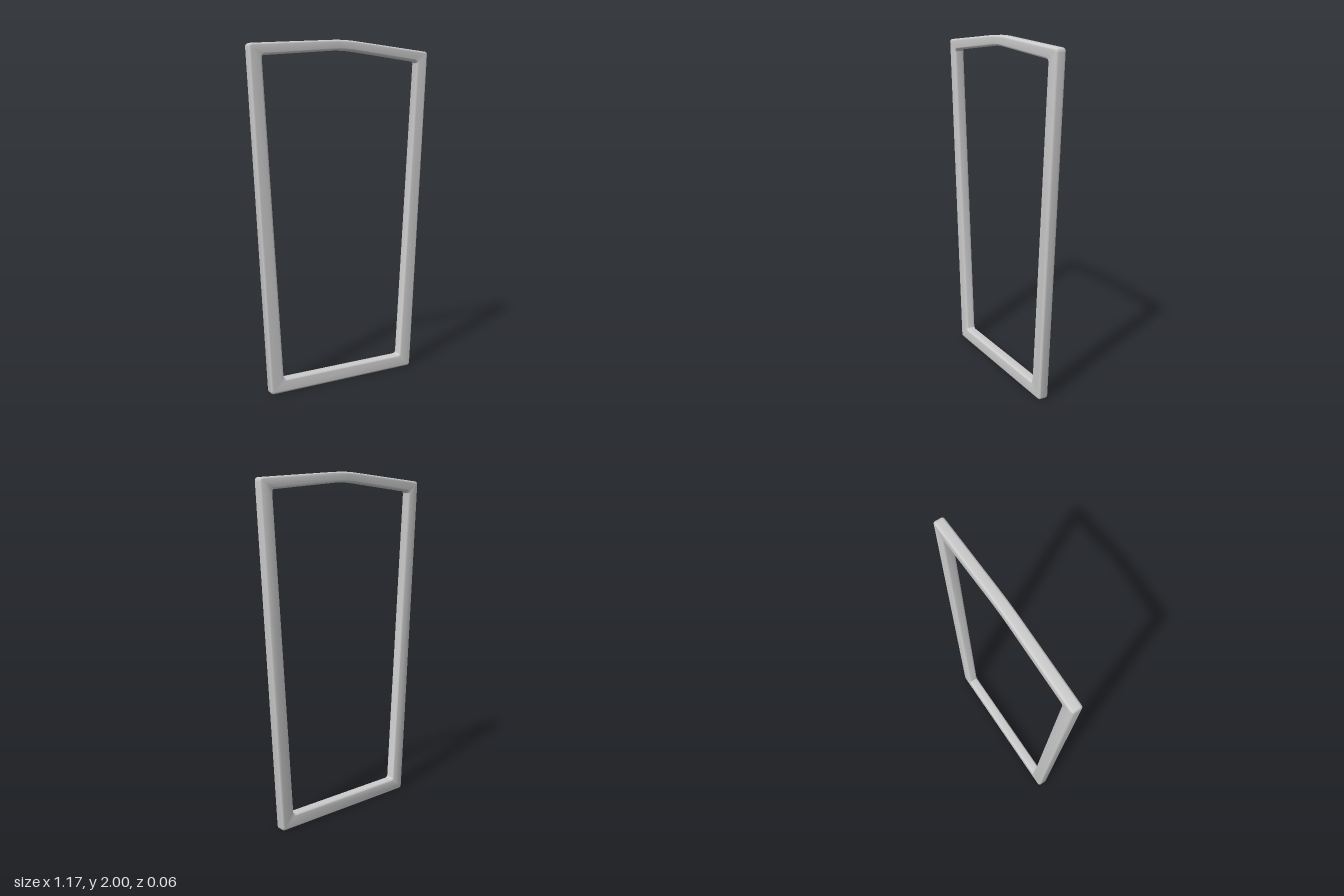
import * as THREE from 'three';
import { toCreasedNormals } from 'three/addons/utils/BufferGeometryUtils.js';

// Trace a closed polygon of [x, y, trim], rounding each corner over its trim length
function roundedLoop(path, corners) {
  const pts = corners.map(([x, y]) => new THREE.Vector2(x, y));
  const n = pts.length;
  const toward = (a, b, d) => b.clone().sub(a).setLength(d).add(a);
  for (let i = 0; i < n; i++) {
    const p = pts[i], r = corners[i][2];
    const a = toward(p, pts[(i + n - 1) % n], r);
    const b = toward(p, pts[(i + 1) % n], r);
    if (i === 0) path.moveTo(a.x, a.y);
    else path.lineTo(a.x, a.y);
    path.quadraticCurveTo(p.x, p.y, b.x, b.y);
  }
  path.closePath();
  return path;
}

// Tapered five-sided outline with a softened peak, mirrored about x = 0
const outline = (bottomX, bottomY, topX, topY, peakY, r) => [
  [-bottomX, bottomY, r], [bottomX, bottomY, r],
  [topX, topY, r], [0, peakY, 0.08], [-topX, topY, r],
];

export function createModel() {
  const group = new THREE.Group();
  group.name = 'taperedFrame';

  // Outer edge and opening
  const shape = roundedLoop(new THREE.Shape(), outline(0.483, 0, 0.586, 1.957, 2.003, 0.02));
  shape.holes.push(roundedLoop(new THREE.Path(), outline(0.403, 0.08, 0.509, 1.897, 1.946, 0.016)));

  // Bar with rounded edges, centred on z = 0
  const bevel = 0.012, depth = 0.06;
  const geometry = new THREE.ExtrudeGeometry(shape, {
    depth: depth - 2 * bevel,
    curveSegments: 6,
    bevelEnabled: true,
    bevelThickness: bevel,
    bevelSize: bevel,
    bevelOffset: -bevel,
    bevelSegments: 4,
  });
  geometry.translate(0, 0, bevel - depth / 2);

  const frame = new THREE.Mesh(
    toCreasedNormals(geometry, 0.7),
    new THREE.MeshStandardMaterial({ color: 0xcccccc }),
  );
  frame.name = 'frame';
  group.add(frame);
  return group;
}
